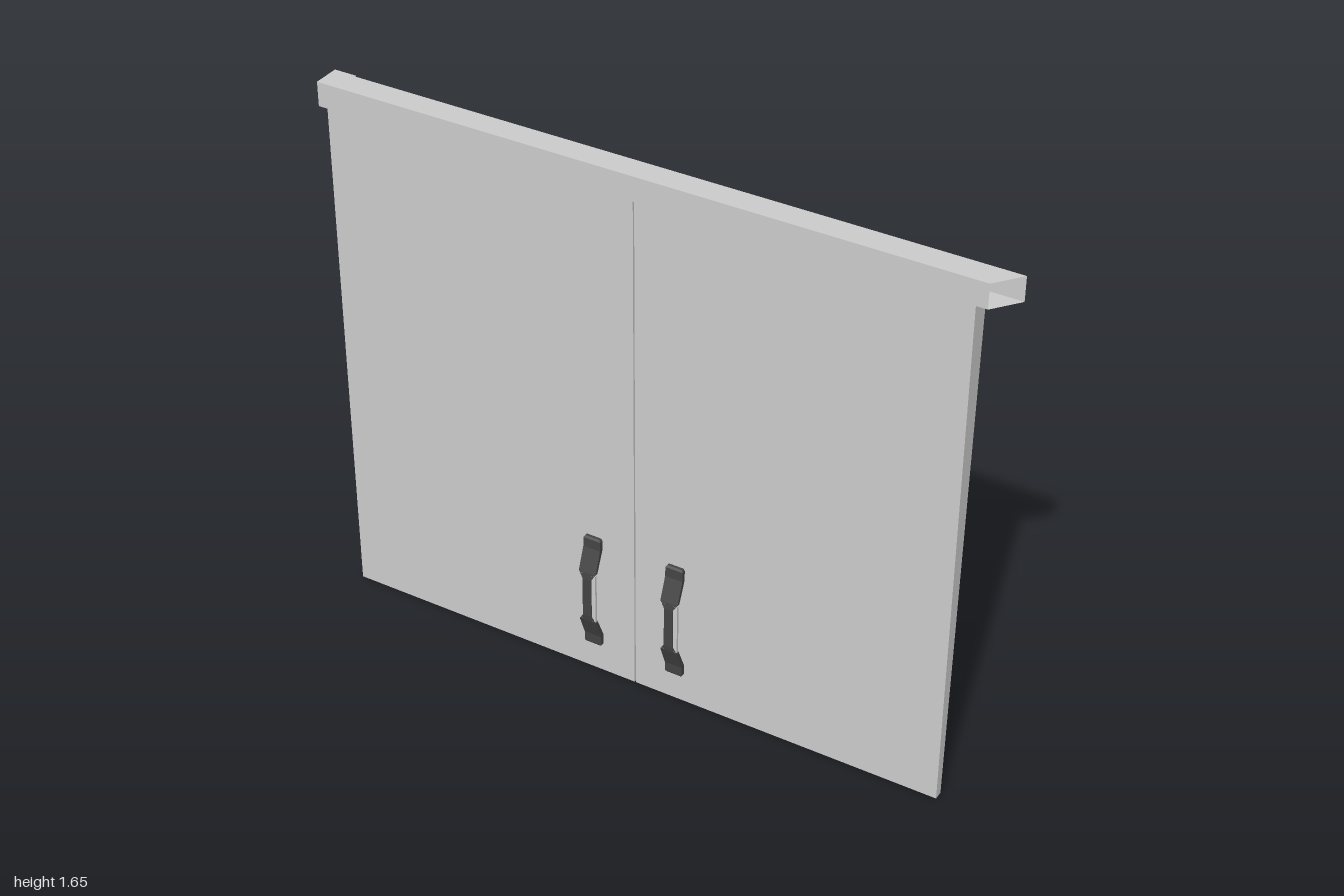
import * as THREE from 'three';

const grey = new THREE.MeshStandardMaterial({ color: 0xcccccc, side: THREE.DoubleSide, flatShading: true });
const dark = new THREE.MeshStandardMaterial({ color: 0x444444, flatShading: true });

// Thin sheet-metal shell from four-cornered faces
function sheets(name, quads) {
  const pos = [];
  for (const [a, b, c, d] of quads) pos.push(...a, ...b, ...c, ...a, ...c, ...d);
  const g = new THREE.BufferGeometry();
  g.setAttribute('position', new THREE.Float32BufferAttribute(pos, 3));
  g.computeVertexNormals();
  const m = new THREE.Mesh(g, grey);
  m.name = name;
  return m;
}

// Door: front panel with flanges folded back, deeper towards the top
function door(name, x0, x1) {
  const h = 1.58, zf = 0.013, zb = -0.014, zt = -0.046;
  const side = x => [[x, 0, zf], [x, 0, zb], [x, h, zt], [x, h, zf]];
  return sheets(name, [
    [[x0, 0, zf], [x1, 0, zf], [x1, h, zf], [x0, h, zf]],
    side(x0).reverse(),
    side(x1),
    [[x0, 0, zb], [x1, 0, zb], [x1, 0, zf], [x0, 0, zf]],
    [[x0, h, zf], [x1, h, zf], [x1, h, zt], [x0, h, zt]],
  ]);
}

// Hollow top rail: mitred open end on one side, short return on the other
function topRail() {
  const y0 = 1.58, y1 = 1.652;
  const front = 0.027, back = -0.048, stub = -0.053;
  const outline = [[0.94, front], [-1, front], [-1, stub], [-0.932, stub], [-0.932, back], [1, back]];
  const quads = [];
  for (let i = 0; i < outline.length - 1; i++) {
    if (i === 2) continue; // open end of the return
    const [ax, az] = outline[i], [bx, bz] = outline[i + 1];
    quads.push([[ax, y0, az], [ax, y1, az], [bx, y1, bz], [bx, y0, bz]]);
  }
  const flat = (y, up) => {
    for (const [xa, xb, xc, xd, za, zb] of [[-1, 0.94, 1, -1, front, back], [-1, -0.932, -0.932, -1, back, stub]]) {
      const q = [[xa, y, za], [xb, y, za], [xc, y, zb], [xd, y, zb]];
      quads.push(up ? q : q.reverse());
    }
  };
  flat(y1, true);
  flat(y0, false);
  return sheets('topRail', quads);
}

// Handle strap: box rows moved to stations of [height, centre z, width, thickness]
const stations = [
  [0.092, 0.016, 0.046, 0.010], [0.098, 0.018, 0.054, 0.014], [0.128, 0.019, 0.054, 0.014],
  [0.195, 0.046, 0.054, 0.010], [0.215, 0.049, 0.028, 0.011],
];
const rows = [...stations, ...stations.map(([y, ...r]) => [0.56 - y, ...r]).reverse()];

function handle(name, x) {
  const group = new THREE.Group();
  group.name = name;
  const n = rows.length - 1;
  const g = new THREE.BoxGeometry(1, 1, 1, 1, n, 1);
  const p = g.attributes.position;
  for (let i = 0; i < p.count; i++) {
    const [y, z, w, t] = rows[Math.round((p.getY(i) + 0.5) * n)];
    p.setXYZ(i, p.getX(i) * w, y, z + p.getZ(i) * t);
  }
  g.computeVertexNormals();
  const strap = new THREE.Mesh(g, dark);
  strap.name = 'handleStrap';
  group.add(strap);
  // Light strips along both sides of the narrow grip
  for (const s of [-1, 1]) {
    const strip = new THREE.Mesh(new THREE.BoxGeometry(0.012, 0.16, 0.008), grey);
    strip.position.set(s * 0.02, 0.28, 0.048);
    strip.name = 'gripSideStrip';
    group.add(strip);
  }
  group.position.x = x;
  return group;
}

export function createModel() {
  const model = new THREE.Group();
  model.name = 'doubleDoorFront';
  model.add(
    door('rightDoor', -0.983, -0.042),
    door('leftDoor', -0.038, 0.903),
    topRail(),
    handle('rightHandle', -0.171),
    handle('leftHandle', 0.091),
  );
  return model;
}
